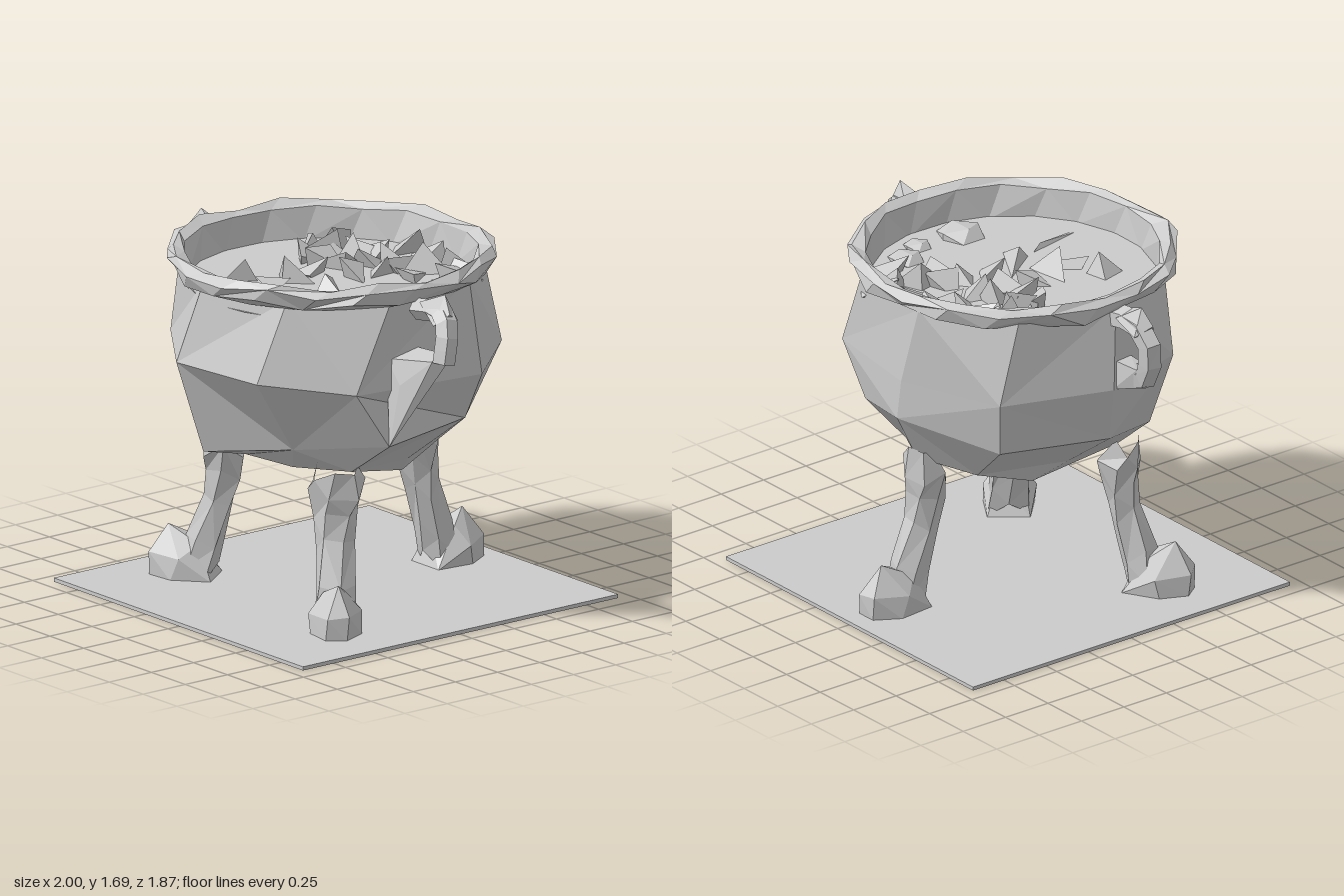
import * as THREE from 'three';
import { ConvexGeometry } from 'three/addons/geometries/ConvexGeometry.js';

const material = new THREE.MeshStandardMaterial({ color: 0xcccccc, flatShading: true });

function add(parent, name, geometry) {
  const mesh = new THREE.Mesh(geometry, material);
  mesh.name = name;
  parent.add(mesh);
  return mesh;
}

// Skin joining closed rings of [x, y, z], listed from bottom to top
function loft(rings) {
  const n = rings[0].length, index = [];
  for (let r = 0; r < rings.length - 1; r++) {
    for (let i = 0; i < n; i++) {
      const j = (i + 1) % n, a = r * n, b = a + n;
      if ((i + r) % 2) index.push(a + i, a + j, b + j, a + i, b + j, b + i);
      else index.push(a + i, a + j, b + i, a + j, b + j, b + i);
    }
  }
  const g = new THREE.BufferGeometry();
  g.setAttribute('position', new THREE.Float32BufferAttribute(rings.flat(2), 3));
  g.setIndex(index);
  g.computeVertexNormals();
  return g;
}

// Elliptical ring running from +z towards +x, made uneven by the wobble
function ring(n, cx, y, cz, rx, rz, start = 0, wobble = 0) {
  return Array.from({ length: n }, (_, i) => {
    const a = start + (i / n) * Math.PI * 2;
    const k = 1 + wobble * Math.sin(i * 2.3 + y * 40);
    return [cx + Math.sin(a) * rx * k, y + wobble * 0.7 * Math.sin(i * 3.7 + rx * 30), cz + Math.cos(a) * rz * k];
  });
}

const hull = (points) => new ConvexGeometry(points.map((p) => new THREE.Vector3(...p)));

function seeded(seed) {
  return () => (seed = (seed * 16807) % 2147483647) / 2147483647;
}

// Leg leaning outwards along its own +z, ending in a clawed foot
function makeLeg(name, angle, shift, width, height) {
  const leg = new THREE.Group();
  leg.name = name;
  const sections = [
    [0.61, 0.05, 0.085, 0.09], [0.58, 0.2, 0.075, 0.09], [0.515, 0.4, 0.068, 0.075],
    [0.49, 0.54, 0.08, 0.09], [0.49, 0.65, 0.105, 0.105], [0.53, height, 0.08, 0.06],
  ];
  add(leg, 'shank', loft(sections.map(([z, y, rx, rz], i) => ring(6, 0, y, z, rx * width, rz, i * 0.2, 0.06))));
  add(leg, 'foot', hull([
    [-0.1, 0.015, 0.53], [0.1, 0.015, 0.53], [-0.12, 0.015, 0.72], [0.12, 0.015, 0.72],
    [-0.05, 0.015, 0.84], [0.05, 0.015, 0.84], [-0.13, 0.11, 0.7], [0.12, 0.12, 0.68],
    [0.06, 0.13, 0.84], [-0.04, 0.12, 0.85], [0.01, 0.26, 0.76], [-0.06, 0.2, 0.66], [0.05, 0.18, 0.6],
  ]));
  leg.rotation.y = angle;
  leg.position.set(Math.sin(angle) * shift - 0.01, 0, Math.cos(angle) * shift);
  return leg;
}

function tube(points, radius) {
  const curve = new THREE.CatmullRomCurve3(points.map((p) => new THREE.Vector3(...p)), false, 'catmullrom', 0.3);
  return new THREE.TubeGeometry(curve, 7, radius, 5);
}

export function createModel() {
  const model = new THREE.Group();
  model.name = 'cauldron';

  add(model, 'basePlate', new THREE.BoxGeometry(1.84, 0.018, 1.87)).position.set(-0.005, 0.009, 0);

  // Coarsely faceted pot body, with a keel-like underside
  const bottom = [
    [-0.15, 0.7, 0.42], [0.15, 0.7, 0.38], [0.46, 0.73, 0.28], [0.4, 0.71, -0.1], [0.25, 0.71, -0.4],
    [-0.02, 0.75, -0.55], [-0.28, 0.71, -0.4], [-0.45, 0.73, 0], [-0.44, 0.73, 0.3],
  ];
  const lowest = bottom.map(([x]) => [THREE.MathUtils.clamp(x, -0.35, 0.32), 0.63, -0.13]);
  const lower = [
    [-0.2, 0.74, 0.63], [0.25, 0.82, 0.46], [0.7, 0.9, 0.25], [0.6, 0.92, -0.28], [0.3, 0.95, -0.6],
    [-0.05, 1.0, -0.69], [-0.54, 0.93, -0.47], [-0.7, 0.92, 0.05], [-0.53, 0.84, 0.42],
  ];
  const middle = [
    [-0.2, 1.2, 0.79], [0.32, 1.2, 0.73], [0.67, 1.17, 0.42], [0.7, 1.15, -0.3], [0.46, 1.2, -0.61],
    [-0.08, 1.2, -0.69], [-0.59, 1.2, -0.51], [-0.77, 1.2, 0.02], [-0.63, 1.2, 0.48],
  ];
  const top = ring(9, -0.02, 1.6, 0.01, 0.71, 0.71, -0.1);
  add(model, 'potBody', loft([lowest, bottom, lower, middle, top]));

  // Uneven, outward-flaring rim with an inner wall sloping down to the contents
  const rimProfile = [
    [0.67, 1.555, 0.008], [0.745, 1.585, 0.025], [0.77, 1.645, 0.02], [0.735, 1.675, 0.02], [0.685, 1.65, 0.012], [0.665, 1.49, 0],
  ];
  add(model, 'rim', loft(rimProfile.map(([r, y, w], i) => ring(20, -0.01, y, 0.03, r, r, i * 0.09, w))));

  // Contents: flat surface, crowded floating shards and bubbles
  const surface = add(model, 'brewSurface', new THREE.CircleGeometry(0.67, 24));
  surface.rotation.x = -Math.PI / 2;
  surface.position.set(-0.01, 1.505, 0.03);

  const random = seeded(11);
  const shards = [
    [-0.47, -0.23], [-0.4, -0.32], [-0.25, -0.36], [-0.16, -0.38], [-0.05, -0.36], [0.1, -0.3], [0.24, -0.26],
    [-0.32, -0.08], [-0.22, -0.1], [-0.2, -0.22], [0.03, -0.08], [0.07, -0.2], [-0.14, -0.53], [0.06, -0.5],
    [0.22, -0.5], [0.36, -0.42], [-0.1, 0.2], [-0.26, 0.36], [-0.09, 0.31], [-0.13, 0.04], [-0.3, -0.24],
    [-0.08, -0.25], [0.17, -0.38], [-0.34, -0.2], [-0.12, -0.12], [0.29, -0.53],
  ];
  shards.forEach(([x, z]) => {
    const shard = add(model, 'shard', new THREE.TetrahedronGeometry(0.1 + random() * 0.05));
    shard.scale.y = 0.6;
    shard.position.set(x, 1.51, z);
    shard.rotation.set(random() * 3, random() * 6, random() * 3);
  });
  add(model, 'longShard', hull([[-0.03, 1.5, 0], [0.12, 1.5, 0.22], [0.23, 1.5, 0.15], [0.1, 1.58, 0.15]]));
  add(model, 'splinter', hull([[0.13, 1.5, 0.25], [0.2, 1.5, 0.6], [0.22, 1.5, 0.6], [0.16, 1.53, 0.32]]));
  [[0.5, 0.12, 0.12], [0.44, -0.25, 0.09], [0.52, -0.12, 0.07]].forEach(([x, z, r]) => {
    const bubble = add(model, 'bubble', new THREE.IcosahedronGeometry(r, 0));
    bubble.scale.y = 0.5;
    bubble.position.set(x, 1.505, z);
  });

  // Three legs: two at the front, one at the back
  model.add(makeLeg('frontLeftLeg', 0.9, 0.05, 1.35, 0.74));
  model.add(makeLeg('frontRightLeg', -0.95, 0.04, 1.25, 0.74));
  model.add(makeLeg('backLeg', Math.PI, 0, 1.12, 0.78));

  // Right handle: closed loop with a broad lower root
  add(model, 'rightHandle', tube([
    [-0.7, 1.54, 0.08], [-0.86, 1.56, 0.08], [-0.95, 1.47, 0.09], [-0.92, 1.3, 0.1], [-0.72, 1.25, 0.11],
  ], 0.058));
  add(model, 'rightHandleRoot', hull([
    [-0.93, 1.25, 0.08], [-0.93, 1.32, 0.14], [-0.9, 1.34, 0.05], [-0.74, 1.19, 0.04],
    [-0.74, 1.19, 0.15], [-0.72, 1.33, 0.05], [-0.72, 1.32, 0.16],
  ]));

  // Left handle: loop merging into a tapering bracket
  add(model, 'leftHandle', tube([
    [0.7, 1.54, 0.08], [0.86, 1.56, 0.08], [0.94, 1.5, 0.1], [0.95, 1.4, 0.12], [0.95, 1.34, 0.13],
  ], 0.055));
  add(model, 'leftHandleBracket', hull([
    [0.99, 1.37, 0.12], [0.93, 1.36, 0.06], [0.93, 1.35, 0.18], [0.62, 1.33, 0.04], [0.62, 1.3, 0.2],
    [0.62, 1.1, 0.08], [0.74, 1.2, 0.05], [0.74, 1.2, 0.22], [0.7, 0.9, 0.25],
  ]));

  // Pointed knobs on top of both handles
  [-1, 1].forEach((s) => add(model, s < 0 ? 'rightHandleKnob' : 'leftHandleKnob', hull([
    [s * 0.9, 1.65, 0.08], [s * 0.96, 1.57, 0.1], [s * 0.92, 1.52, 0.02], [s * 0.9, 1.51, 0.15],
    [s * 0.78, 1.57, 0.02], [s * 0.76, 1.59, 0.12], [s * 0.78, 1.51, 0.08],
  ])));

  return model;
}
